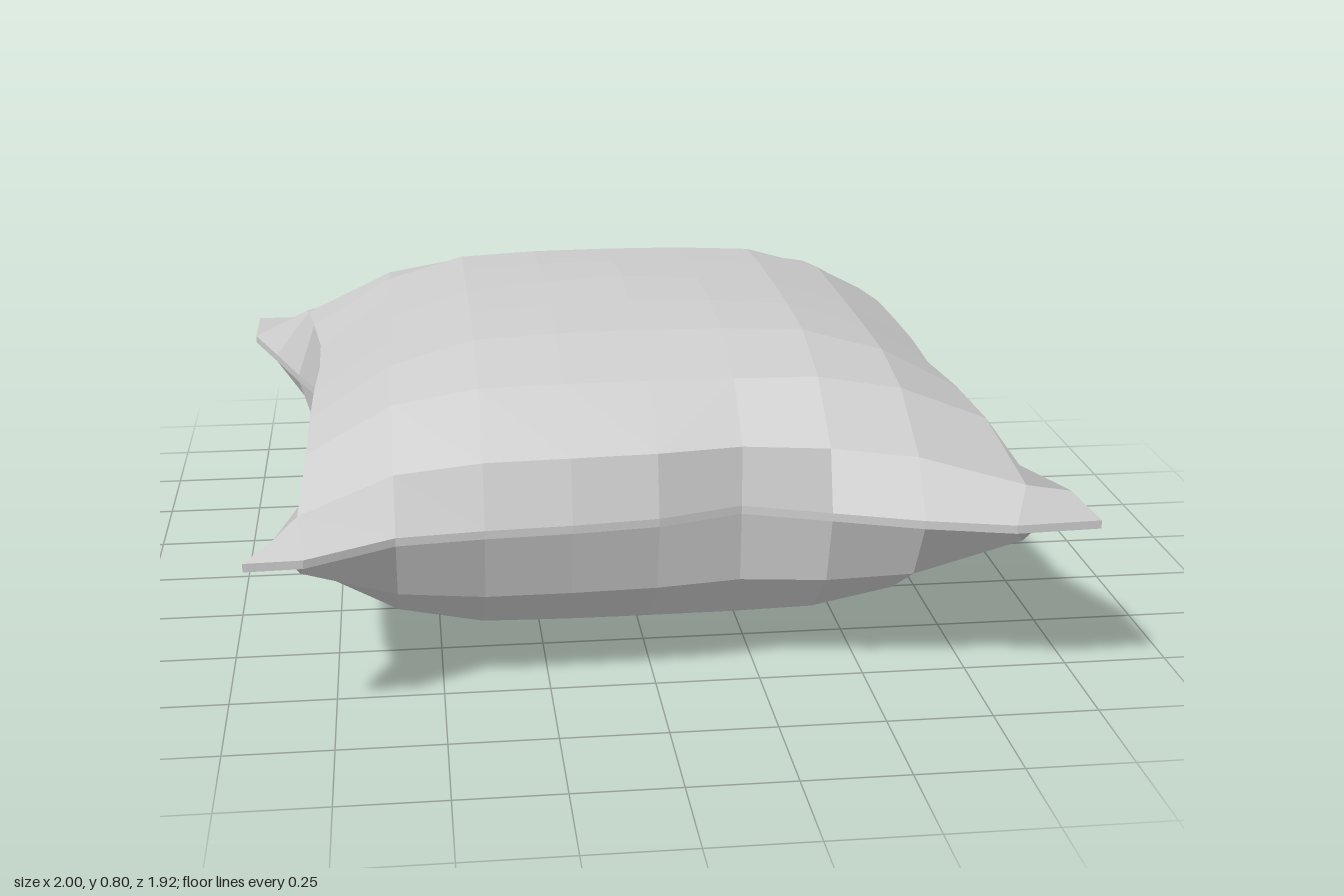
import * as THREE from 'three';

const N = 5; // grid runs from -N to N in both directions
const SEAM_Y = 0.43, SEAM_HALF = 0.01;
const PROFILE = [1, 0.97, 0.92, 0.74, 0.4, 0]; // puffiness from centre to seam

// Seam outline: distance of each side at grid lines -4..4, plus the corners
const SIDES = {
  front: [0.955, 0.85, 0.83, 0.82, 0.80, 0.74, 0.81, 0.88, 0.93],
  back: [-0.96, -0.91, -0.85, -0.83, -0.83, -0.85, -0.86, -0.87, -0.955],
  left: [0.88, 0.77, 0.80, 0.81, 0.81, 0.78, 0.85, 0.92, 0.99],
  right: [-1, -0.93, -0.86, -0.78, -0.77, -0.80, -0.81, -0.82, -0.87],
};
const CORNERS = { '-1,-1': [-1, -0.96], '1,-1': [0.91, -0.96], '-1,1': [-0.93, 0.96], '1,1': [1, 0.92] };

// Coordinate across a side: seam line, or the puffed row just inside it
function across(index, along, positive, negative, inner, blend) {
  const k = THREE.MathUtils.clamp(along, -4, 4) + 4;
  const seam = (index > 0 ? positive : negative)[k];
  return Math.abs(index) === N ? seam : THREE.MathUtils.lerp(Math.sign(index) * inner, seam, blend);
}

// Plan position of grid point (i, j)
function plan(i, j) {
  const u = Math.abs(i), v = Math.abs(j);
  if (u === N && v === N) return CORNERS[`${Math.sign(i)},${Math.sign(j)}`];
  let x = i * 0.2, z = j * 0.2;
  // the cloth is skewed a little along the two sides
  if (i >= 4) z -= 0.055;
  if (i <= -4) z += 0.025;
  if (u >= 4 && v < N) x = across(i, j, SIDES.left, SIDES.right, 0.79, 0.3);
  if (v >= 4 && u < N) z = across(j, i, SIDES.front, SIDES.back, 0.73, 0.45);
  return [x, z];
}

// Seam points keep their spacing along the side they lie on
function seamAwarePlan(i, j) {
  const [x, z] = plan(i, j);
  if (Math.abs(i) === N && Math.abs(j) === 4) return [x, j * 0.2 + (i > 0 ? -0.07 : 0.03)];
  return [x, z];
}

function point(i, j, side, height) {
  const [x, z] = seamAwarePlan(i, j);
  // rounded falloff, so the corners thin out
  const fall = Math.hypot(1 - PROFILE[Math.abs(i)], 1 - PROFILE[Math.abs(j)]);
  return new THREE.Vector3(x, SEAM_Y + side * (SEAM_HALF + height * Math.max(0, 1 - fall)), z);
}

// Mesh of quads, each shaded as a single facet
function quadMesh(name, quads, material) {
  const positions = [], normals = [];
  for (const [a, b, c, d] of quads) {
    const normal = c.clone().sub(a).cross(d.clone().sub(b)).normalize();
    for (const p of [a, b, c, a, c, d]) {
      positions.push(p.x, p.y, p.z);
      normals.push(normal.x, normal.y, normal.z);
    }
  }
  const geometry = new THREE.BufferGeometry();
  geometry.setAttribute('position', new THREE.Float32BufferAttribute(positions, 3));
  geometry.setAttribute('normal', new THREE.Float32BufferAttribute(normals, 3));
  const mesh = new THREE.Mesh(geometry, material);
  mesh.name = name;
  return mesh;
}

// One puffed cloth panel, above (side 1) or below (side -1) the seam
function panel(name, side, height, material) {
  const quads = [];
  for (let j = -N; j < N; j++) {
    for (let i = -N; i < N; i++) {
      const q = [[i, j], [i, j + 1], [i + 1, j + 1], [i + 1, j]].map(([u, v]) => point(u, v, side, height));
      // split each quad across the direction of the nearest corner
      if ((i + 0.5) * (j + 0.5) > 0) q.push(q.shift());
      quads.push(side > 0 ? q : [q[0], q[3], q[2], q[1]]);
    }
  }
  return quadMesh(name, quads, material);
}

// Thin strip joining the two panels around the rim
function seam(material) {
  const loop = [];
  for (let k = -N; k < N; k++) loop.push([k, N]);
  for (let k = N; k > -N; k--) loop.push([N, k]);
  for (let k = N; k > -N; k--) loop.push([k, -N]);
  for (let k = -N; k < N; k++) loop.push([-N, k]);
  const quads = loop.map(([i, j], n) => {
    const [u, v] = loop[(n + 1) % loop.length];
    return [point(i, j, -1, 0), point(u, v, -1, 0), point(u, v, 1, 0), point(i, j, 1, 0)];
  });
  return quadMesh('seam', quads, material);
}

export function createModel() {
  const cloth = new THREE.MeshStandardMaterial({ color: 0xcccccc });
  const pillow = new THREE.Group();
  pillow.name = 'pillow';
  pillow.add(
    panel('topPanel', 1, 0.36, cloth),
    panel('bottomPanel', -1, 0.42, cloth),
    seam(cloth),
  );
  return pillow;
}
